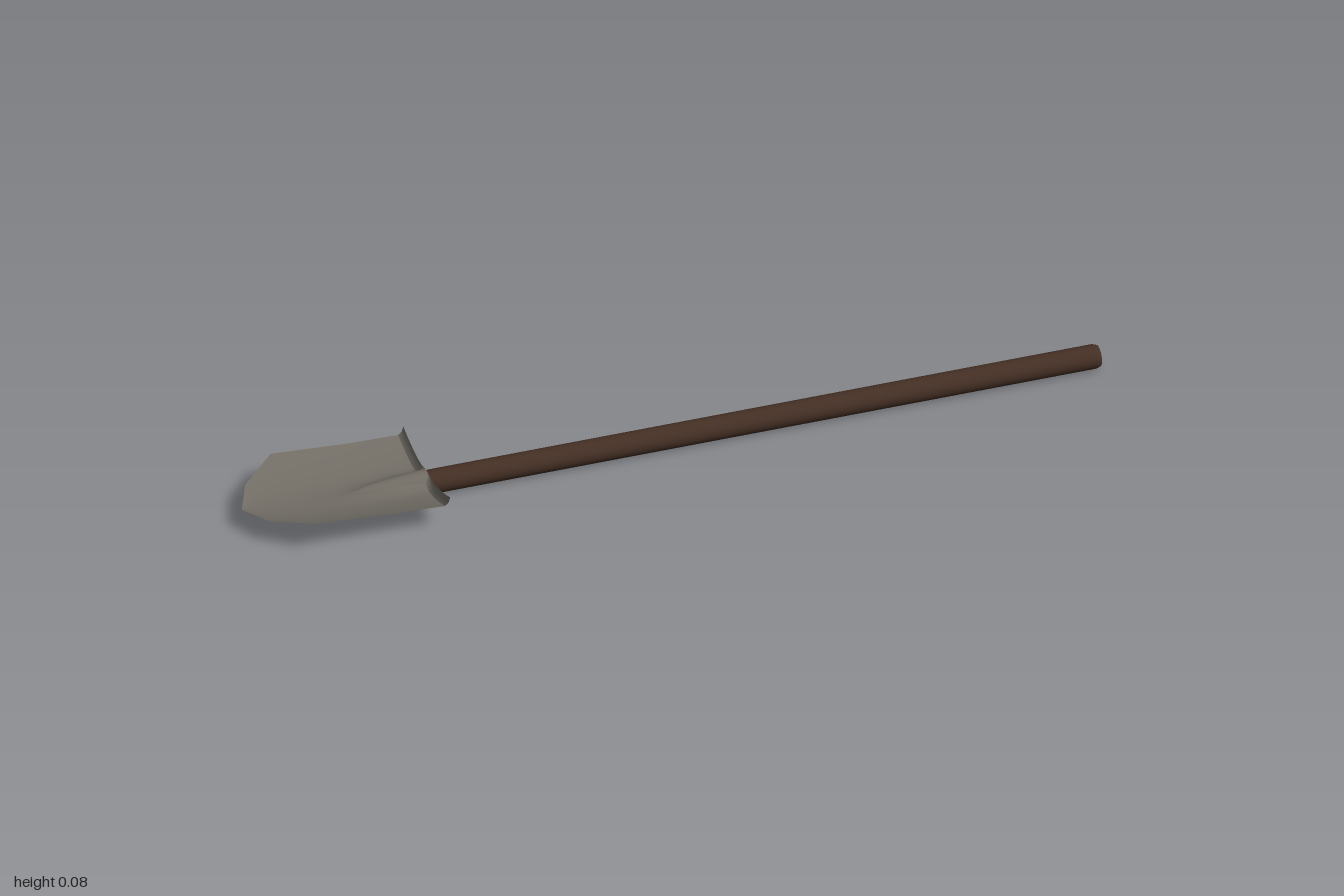
import * as THREE from 'three';

const steel = new THREE.MeshStandardMaterial({ color: 0x716d65, side: THREE.DoubleSide });
steel.name = 'weathered steel';
const wood = new THREE.MeshStandardMaterial({ color: 0x442f24 });
wood.name = 'dark wood';

// Solid of revolution along x; profile points are [x, radius]
function turned(name, profile, material, y) {
  const geo = new THREE.LatheGeometry(profile.map(([x, r]) => new THREE.Vector2(r, x)), 20);
  geo.rotateZ(-Math.PI / 2);
  const mesh = new THREE.Mesh(geo, material);
  mesh.name = name;
  mesh.position.y = y;
  return mesh;
}

// Dished sheet lofted from stations: [x, half width, centre y, edge y, ridge height]
function sheet(name, stations, columns = 24) {
  const pos = [], index = [];
  for (const [x, half, centre, edge, ridge] of stations) {
    for (let j = 0; j <= columns; j++) {
      const t = (j / columns) * 2 - 1, z = t * half;
      pos.push(x, centre + (edge - centre) * t * t + ridge * Math.exp(-((z / 0.028) ** 2)), z);
    }
  }
  const row = columns + 1;
  for (let i = 0; i < stations.length - 1; i++) {
    for (let j = 0; j < columns; j++) {
      const a = i * row + j, b = a + row;
      index.push(a, a + 1, b, b, a + 1, b + 1);
    }
  }
  const geo = new THREE.BufferGeometry();
  geo.setAttribute('position', new THREE.Float32BufferAttribute(pos, 3));
  geo.setIndex(index);
  geo.computeVertexNormals();
  const mesh = new THREE.Mesh(geo, steel);
  mesh.name = name;
  return mesh;
}

export function createModel() {
  const shovel = new THREE.Group();
  shovel.name = 'shovel';

  // Long shaft with softly chamfered end
  shovel.add(turned('handle', [
    [-0.62, 0], [-0.62, 0.026], [-0.55, 0.0275], [0.985, 0.0275],
    [0.985, 0.0275], [0.995, 0.024], [0.995, 0.024], [0.995, 0],
  ], wood, 0.0305));

  // Blade, dished across its width, with a ridge over the handle
  shovel.add(sheet('blade', [
    [-1.0, 0.002, 0.05, 0.05, 0],
    [-0.965, 0.08, 0.047, 0.06, 0],
    [-0.88, 0.153, 0.041, 0.079, 0],
    [-0.78, 0.153, 0.036, 0.073, 0.001],
    [-0.7, 0.153, 0.034, 0.068, 0.012],
    [-0.64, 0.154, 0.034, 0.066, 0.022],
    [-0.582, 0.155, 0.034, 0.064, 0.025],
  ]));

  // Upturned foot rest along the back edge
  shovel.add(sheet('footRest', [
    [-0.582, 0.155, 0.034, 0.064, 0.025],
    [-0.574, 0.155, 0.042, 0.071, 0.018],
    [-0.57, 0.155, 0.053, 0.084, 0.008],
  ]));

  // Tapered socket under the blade
  shovel.add(turned('socket', [
    [-0.79, 0], [-0.76, 0.006], [-0.71, 0.018], [-0.68, 0.021],
    [-0.62, 0.0265], [-0.572, 0.0285],
  ], steel, 0.0325));

  return shovel;
}
